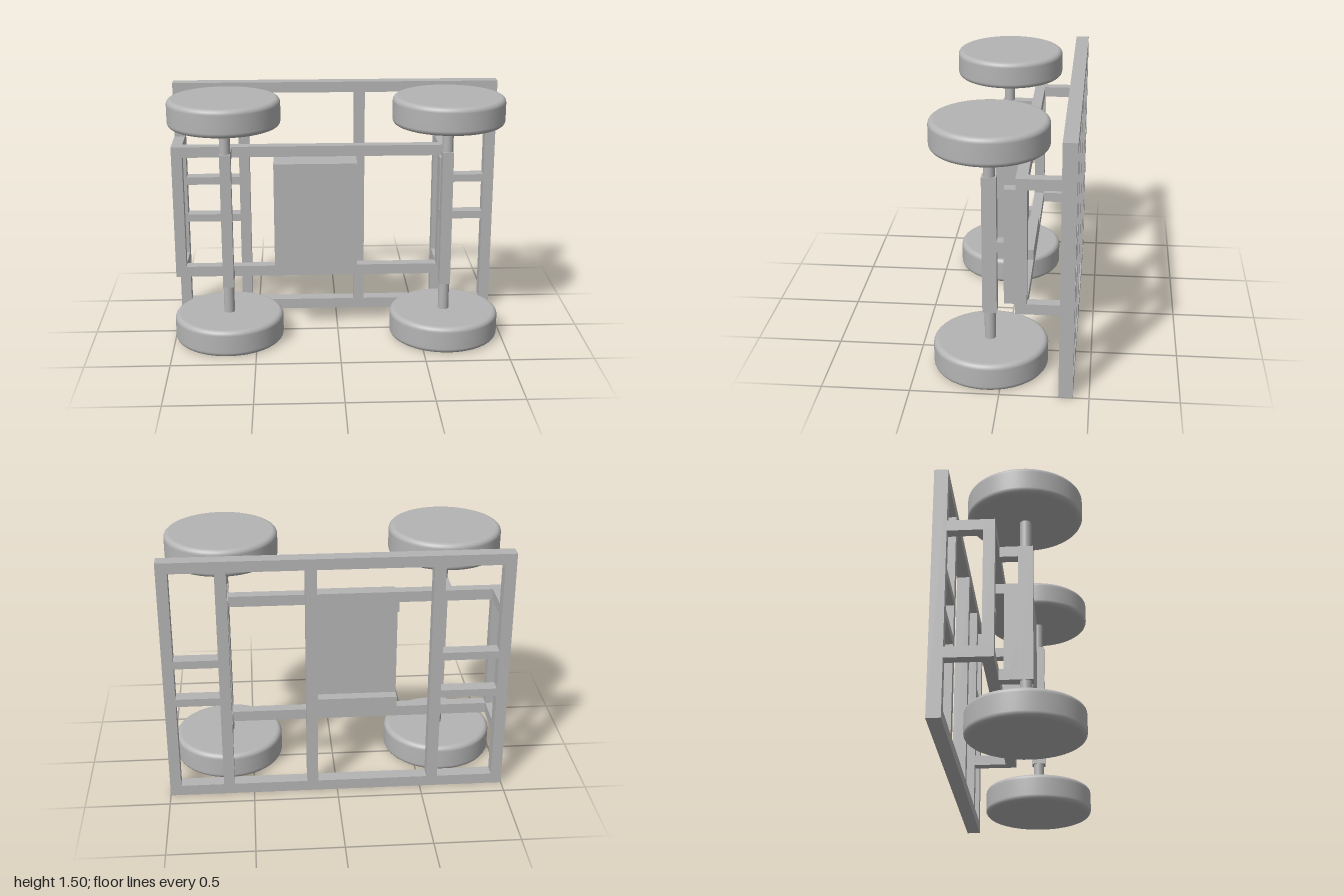
import * as THREE from 'three';

export function createModel() {
  const model = new THREE.Group();
  model.name = 'cartChassis';
  const grey = new THREE.MeshStandardMaterial({ color: 0xb4b4b4 });
  grey.name = 'plain grey';

  const H = 1.5, T = 0.065;          // overall height and bar thickness
  const Y0 = 0.335, Y1 = H - Y0;     // outer edges of the two rails
  const ZB = -0.41, ZF = -0.33;      // back and front of the flat frame
  const RB = -0.13, RF = -0.065;     // back and front of the rails

  // box from its minimum and maximum on each axis
  function bar(name, x0, x1, y0, y1, z0, z1) {
    const mesh = new THREE.Mesh(new THREE.BoxGeometry(x1 - x0, y1 - y0, z1 - z0), grey);
    mesh.position.set((x0 + x1) / 2, (y0 + y1) / 2, (z0 + z1) / 2);
    mesh.name = name;
    model.add(mesh);
  }
  // the same box twice, mirrored about mid height
  function pair(name, x0, x1, y0, y1, z0, z1) {
    bar(name, x0, x1, y0, y1, z0, z1);
    bar(name, x0, x1, H - y1, H - y0, z0, z1);
  }

  // flat frame: outer rectangle with holes between the uprights
  const outline = new THREE.Shape();
  outline.moveTo(-1, 0).lineTo(1, 0).lineTo(1, H).lineTo(-1, H).closePath();
  function opening(x0, x1, y0, y1) {
    const hole = new THREE.Path();
    hole.moveTo(x0, y0).lineTo(x0, y1).lineTo(x1, y1).lineTo(x1, y0).closePath();
    outline.holes.push(hole);
  }
  for (const [x0, x1] of [[-0.935, -0.605], [0.68, 0.935]]) {
    opening(x0, x1, T, 0.605);
    opening(x0, x1, 0.653, 0.85);
    opening(x0, x1, 0.898, H - T);
  }
  opening(-0.54, 0.115, T, H - T);
  opening(0.18, 0.615, T, H - T);
  const frame = new THREE.Mesh(
    new THREE.ExtrudeGeometry(outline, { depth: ZF - ZB, bevelEnabled: false }), grey);
  frame.position.z = ZB;
  frame.name = 'frame';
  model.add(frame);

  // rails, end bar and posts down to the frame
  pair('rail', -1, 0.68, Y0, Y0 + T, RB, RF);
  bar('endBar', -1, -0.935, Y0 + T, Y1 - T, RB, RF);
  pair('endPost', -1, -0.935, Y0, Y0 + T, ZF, RB);
  pair('pivotPost', 0.615, 0.68, Y0, Y0 + T, ZF, RB);

  // central box with its mounting strips
  bar('centreBox', -0.385, 0.112, Y0 + T, Y1 - T, RF, 0.1);
  pair('boxMount', -0.385, 0.112, Y0 + T, Y0 + 2 * T, RB, RF);

  // axle mounts: fixed arms at one end, a pivot plate at the other
  pair('axleArm', -0.7, -0.637, Y0, Y0 + T, RF, 0.04);
  bar('pivotPlate', 0.615, 0.68, Y0 + T, Y1 - T, RB, 0);
  bar('pivotBlock', 0.615, 0.68, 0.718, 0.782, 0, 0.04);

  // wheel section with rounded shoulders
  const R = 0.33, W = 0.165, r = 0.03;
  const points = [new THREE.Vector2(0, 0)];
  for (const [cy, start] of [[r, -Math.PI / 2], [W - r, 0]]) {
    for (let i = 0; i <= 6; i++) {
      const a = start + (i / 6) * Math.PI / 2;
      points.push(new THREE.Vector2(R - r + r * Math.cos(a), cy + r * Math.sin(a)));
    }
  }
  points.push(new THREE.Vector2(0, W));
  const wheelGeometry = new THREE.LatheGeometry(points, 64);
  // keep the side discs flat
  const pos = wheelGeometry.attributes.position, nor = wheelGeometry.attributes.normal;
  for (let i = 0; i < pos.count; i++) {
    if (pos.getY(i) < 1e-5) nor.setXYZ(i, 0, -1, 0);
    else if (pos.getY(i) > W - 1e-5) nor.setXYZ(i, 0, 1, 0);
  }

  // axle beams, shafts and wheels
  for (const x of [-0.668, 0.648]) {
    bar('axleBeam', x - 0.0325, x + 0.0325, Y0, Y1, 0.04, 0.123);
    for (const y of [0, H - W]) {
      const wheel = new THREE.Mesh(wheelGeometry, grey);
      wheel.position.set(x, y, 0.077);
      wheel.name = 'wheel';
      model.add(wheel);
    }
    for (const y of [(W + Y0) / 2, H - (W + Y0) / 2]) {
      const shaft = new THREE.Mesh(
        new THREE.CylinderGeometry(0.0325, 0.0325, Y0 - W + 0.02, 32), grey);
      shaft.position.set(x, y, 0.081);
      shaft.name = 'axleShaft';
      model.add(shaft);
    }
  }
  return model;
}
